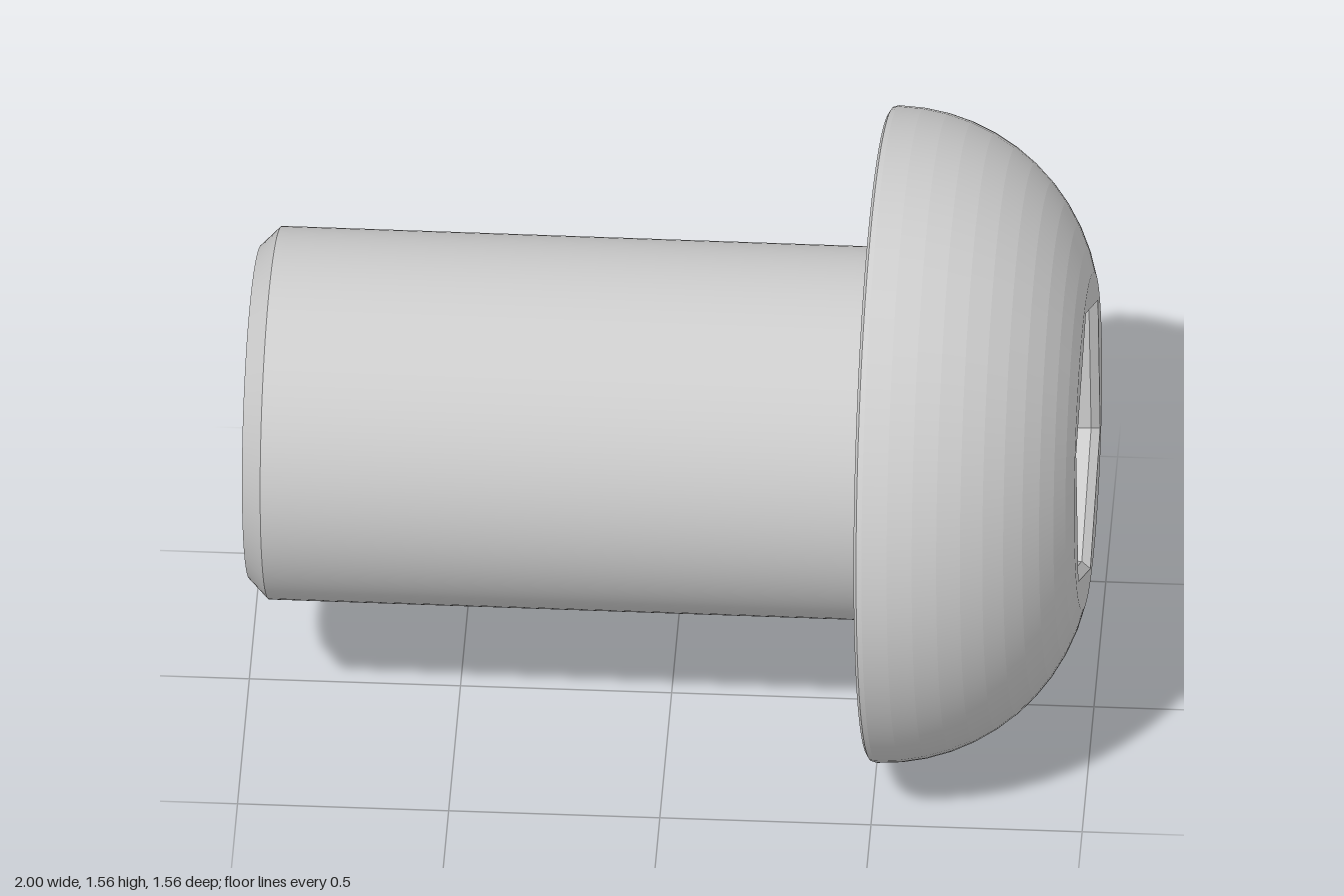
import * as THREE from 'three';
import { mergeGeometries } from 'three/addons/utils/BufferGeometryUtils.js';

const SEGMENTS = 96;
const HEAD_HEIGHT = 0.494, FLAT_RADIUS = 0.4;
const HEX_RADIUS = 0.368, HEX_CHAMFER = 0.02, HEX_DEPTH = 0.28;

// Revolves [radius, along] points about the x axis; each profile step keeps a crisp edge.
function turned(points, segments = SEGMENTS, phiStart = 0) {
  const bands = [];
  for (let i = 0; i < points.length - 1; i++) {
    const pair = [points[i], points[i + 1]].map(([r, u]) => new THREE.Vector2(r, u));
    bands.push(new THREE.LatheGeometry(pair, segments, phiStart));
  }
  return mergeGeometries(bands).rotateZ(-Math.PI / 2);
}

export function createModel() {
  const model = new THREE.Group();
  const screw = new THREE.Group();
  screw.name = 'screw';
  model.add(screw);

  const material = new THREE.MeshStandardMaterial({ color: 0xcccccc });
  const flatMaterial = new THREE.MeshStandardMaterial({ color: 0xcccccc, flatShading: true });
  const add = (name, geometry, mat = material) => {
    const mesh = new THREE.Mesh(geometry, mat);
    mesh.name = name;
    screw.add(mesh);
  };

  // Plain shank with a chamfered tip
  add('shank', turned([[0, -1.481], [0.395, -1.481], [0.442, -1.434], [0.442, 0]]));

  // Button head: flat underside, small rim bevel, stepped dome
  const head = [[0.442, 0], [0.762, 0], [0.774, 0.007], [0.778, 0.02]];
  const domeRadius = 0.485, steps = 11;
  const endAngle = Math.acos((FLAT_RADIUS - (0.778 - domeRadius)) / domeRadius);
  for (let i = 1; i <= steps; i++) {
    const a = (endAngle * i) / steps;
    head.push([0.778 - domeRadius + domeRadius * Math.cos(a), 0.02 + (HEAD_HEIGHT - 0.02) * Math.sin(a) / Math.sin(endAngle)]);
  }
  add('head', turned(head));

  // Flat front face with a hexagonal opening
  const face = new THREE.Shape().absarc(0, 0, FLAT_RADIUS, 0, Math.PI * 2);
  const corners = [];
  for (let k = 0; k < 6; k++) {
    const a = Math.PI / 2 - (k * Math.PI) / 3;
    corners.push(new THREE.Vector2(HEX_RADIUS * Math.cos(a), HEX_RADIUS * Math.sin(a)));
  }
  face.holes.push(new THREE.Path(corners));
  const faceGeometry = new THREE.ShapeGeometry(face, SEGMENTS);
  faceGeometry.rotateY(Math.PI / 2).translate(HEAD_HEIGHT, 0, 0);
  add('headFace', faceGeometry);

  // Hexagonal socket: bevelled lip, walls and floor
  const inner = HEX_RADIUS - HEX_CHAMFER;
  add('hexSocket', turned([
    [HEX_RADIUS, HEAD_HEIGHT],
    [inner, HEAD_HEIGHT - HEX_CHAMFER],
    [inner, HEAD_HEIGHT - HEX_DEPTH],
    [0, HEAD_HEIGHT - HEX_DEPTH],
  ], 6, Math.PI / 2), flatMaterial);

  // The screw lies along x with a very slight tilt
  screw.rotation.set(-0.023, -0.025, 0.0155);
  screw.position.set(0.493, 0.78, -0.004);
  return model;
}
